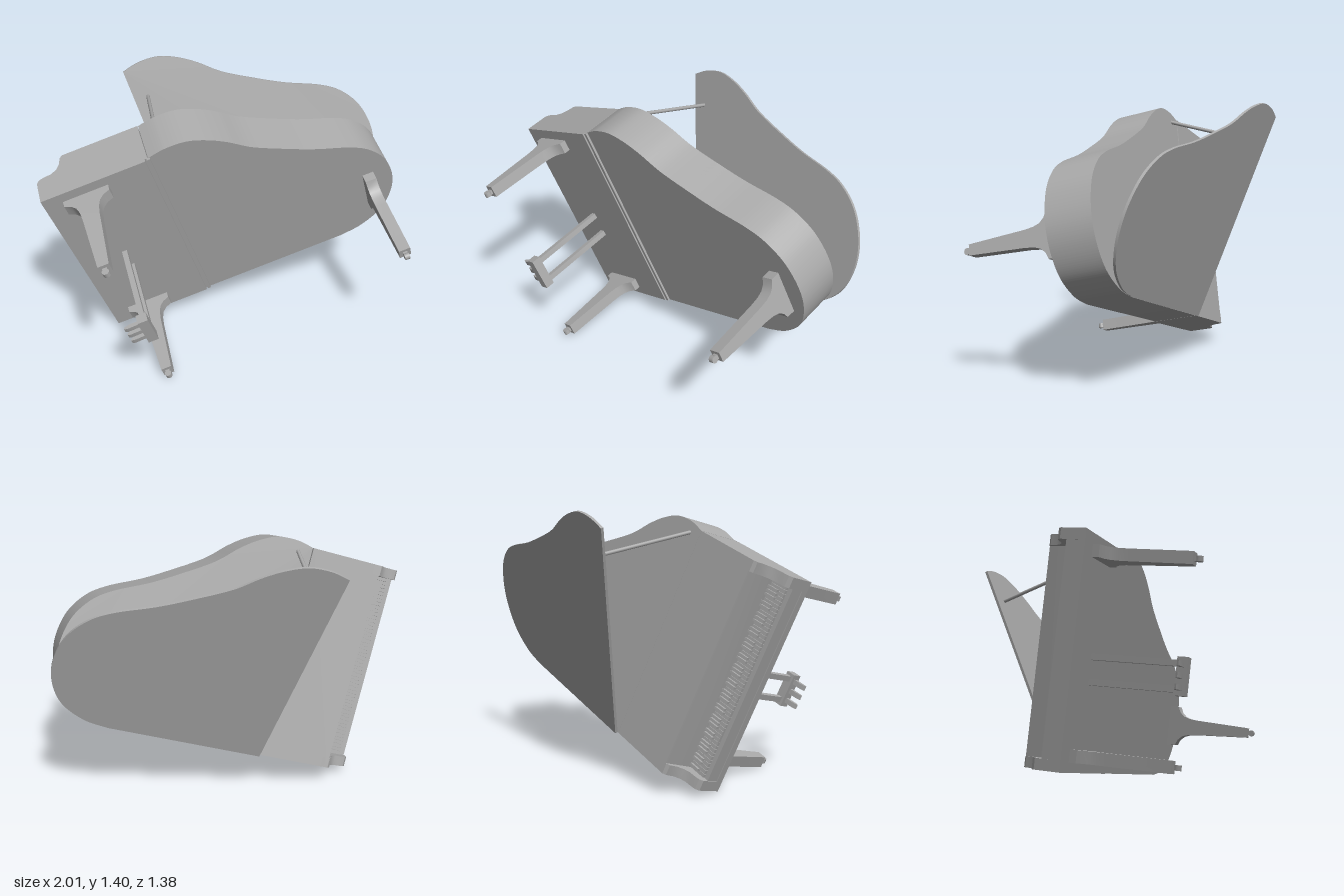
import * as THREE from 'three';
import { toCreasedNormals } from 'three/addons/utils/BufferGeometryUtils.js';

export function createModel() {
  const grey = new THREE.MeshStandardMaterial({ color: 0xaaaaaa });
  grey.name = 'grey';

  // Piano frame: x = keyboard to tail, y = treble to bass side, z = up from the key bed
  const piano = new THREE.Group();
  piano.name = 'grandPiano';
  const WIDTH = 1.145, SPLIT = 0.566, BASE = 0.015, TOP = 0.258;

  function add(name, geometry, parent = piano) {
    const mesh = new THREE.Mesh(geometry, grey);
    mesh.name = name;
    parent.add(mesh);
    return mesh;
  }
  // Box given by its limits along each axis
  function block(name, x0, x1, y0, y1, z0, z1, parent) {
    const g = new THREE.BoxGeometry(x1 - x0, y1 - y0, z1 - z0);
    g.translate((x0 + x1) / 2, (y0 + y1) / 2, (z0 + z1) / 2);
    return add(name, g, parent);
  }
  // Side profile (x, z) extruded across the width from y0 to y1
  function sideExtrude(points, y0, y1) {
    const shape = new THREE.Shape(points.map(([x, z]) => new THREE.Vector2(x, z)));
    const g = new THREE.ExtrudeGeometry(shape, { depth: y1 - y0, bevelEnabled: false });
    g.rotateX(Math.PI / 2);
    g.translate(0, y1, 0);
    return toCreasedNormals(g, 0.5);
  }

  // Curved plan outline shared by the case and the lid
  function outline(scale) {
    const curve = [
      [0.566, 0], [0.66, -0.018], [0.769, -0.01], [0.867, 0.034], [0.958, 0.099],
      [1.065, 0.195], [1.229, 0.299], [1.371, 0.38], [1.542, 0.461], [1.642, 0.534],
      [1.716, 0.646], [1.743, 0.794], [1.716, 0.929], [1.638, 1.048], [1.51, 1.122], [1.381, 1.145],
    ].map(([x, y]) => new THREE.Vector2(SPLIT + (x - SPLIT) * scale, WIDTH + (y - WIDTH) * scale));
    const shape = new THREE.Shape();
    shape.moveTo(curve[0].x, curve[0].y);
    shape.splineThru(curve.slice(1));
    shape.lineTo(SPLIT, WIDTH);
    shape.closePath();
    return shape;
  }
  function plate(scale, depth) {
    const g = new THREE.ExtrudeGeometry(outline(scale), { depth, bevelEnabled: false, curveSegments: 48 });
    return toCreasedNormals(g, 0.5);
  }

  // Case: curved rear, straight front section with fallboard, cheeks
  add('curvedCase', plate(1, TOP - BASE - 0.003)).position.z = BASE;
  add('frontCase', sideExtrude(
    [[0.135, BASE], [SPLIT - 0.004, BASE], [SPLIT - 0.004, TOP], [0.16, TOP], [0.135, 0.11]], 0, WIDTH));
  const cheek = [[0, 0.03], [0.2, 0.03], [0.2, TOP], [0.155, TOP], [0.14, 0.245], [0.13, 0.205],
    [0.11, 0.175], [0.08, 0.158], [0.045, 0.155], [0.015, 0.148], [0, 0.13]];
  add('trebleCheek', sideExtrude(cheek, 0, 0.055));
  add('bassCheek', sideExtrude(cheek, WIDTH - 0.055, WIDTH));

  // Key bed, its rear strip and the slip before the keys
  block('keyBed', 0, 0.548, 0, WIDTH, 0, 0.035);
  block('bedStrip', 0.556, 0.574, 0, WIDTH, 0.003, 0.02);
  block('keySlip', 0.004, 0.03, 0.055, WIDTH - 0.055, 0.03, 0.098);

  // Keyboard, running from treble to bass
  const keys = new THREE.Group();
  keys.name = 'keyboard';
  piano.add(keys);
  const count = 52, step = (WIDTH - 0.11) / count;
  for (let i = 0; i < count; i++) {
    const y = WIDTH - 0.055 - (i + 1) * step;
    block('naturalKey', 0.033, 0.14, y + 0.0008, y + step - 0.0008, 0.04, 0.108, keys);
    // sharps follow A, C, D, F and G, counted up from the lowest A
    if ([0, 2, 3, 5, 6].includes(i % 7) && i < count - 1)
      block('sharpKey', 0.07, 0.14, y - 0.0055, y + 0.0055, 0.1, 0.122, keys);
  }

  // Lid, hinged along the straight bass side, and its prop
  const lidHinge = new THREE.Group();
  lidHinge.name = 'lidHinge';
  lidHinge.position.set(0, WIDTH, TOP + 0.002);
  lidHinge.rotation.x = -0.504;
  piano.add(lidHinge);
  add('lid', plate(1.03, 0.014), lidHinge).position.y = -WIDTH;

  function rod(name, a, b, radius) {
    const from = new THREE.Vector3(...a), to = new THREE.Vector3(...b);
    const mesh = add(name, new THREE.CylinderGeometry(radius, radius, from.distanceTo(to), 8));
    mesh.position.copy(from).add(to).multiplyScalar(0.5);
    mesh.quaternion.setFromUnitVectors(new THREE.Vector3(0, 1, 0), to.sub(from).normalize());
  }
  rod('lidProp', [0.642, 0.034, 0.25], [0.643, 0.264, 0.742], 0.01);

  // Legs: bracketed top, tapering shaft and a caster
  const half = [[0.12, 0.02], [0.118, -0.035], [0.085, -0.05], [0.062, -0.075], [0.05, -0.11],
    [0.044, -0.16], [0.028, -0.475]];
  const legProfile = [...half, ...half.map(([s, z]) => [-s, z]).reverse()];
  function leg(name, x, y, turn) {
    const group = new THREE.Group();
    group.name = name;
    group.position.set(x, y, 0);
    group.rotation.z = turn;
    piano.add(group);
    add('legShaft', sideExtrude(legProfile, -0.031, 0.031), group);
    block('casterFork', -0.012, 0.012, -0.012, 0.012, -0.49, -0.47, group);
    add('caster', new THREE.CylinderGeometry(0.018, 0.018, 0.026, 12), group).position.z = -0.498;
  }
  leg('trebleLeg', 0.215, 0.085, 0);
  leg('bassLeg', 0.215, WIDTH - 0.08, 0);
  leg('tailLeg', 1.61, 0.835, Math.PI / 2);

  // Pedal lyre
  const mid = 0.64;
  for (const side of [-1, 1]) {
    const y = mid + side * 0.062;
    block('lyreRod', 0.226, 0.254, y - 0.015, y + 0.015, -0.45, 0.01);
  }
  block('pedalBox', 0.212, 0.266, mid - 0.092, mid + 0.092, -0.492, -0.44);
  for (const i of [-1, 0, 1]) {
    const y = mid + i * 0.055;
    add('pedal', sideExtrude(
      [[0.22, -0.478], [0.22, -0.458], [0.17, -0.456], [0.14, -0.464], [0.135, -0.474], [0.15, -0.48]],
      y - 0.013, y + 0.013));
  }

  // Tilt the whole instrument into its resting pose
  const along = new THREE.Vector3(0.9335, 0.3075, 0.184).normalize();
  const up = new THREE.Vector3(0.116, 0.227, -0.967).normalize();
  const across = new THREE.Vector3().crossVectors(up, along).normalize();
  up.crossVectors(along, across);
  piano.quaternion.setFromRotationMatrix(new THREE.Matrix4().makeBasis(along, across, up));
  piano.position.set(-1, 1.08, 0.03);

  const model = new THREE.Group();
  model.name = 'model';
  model.add(piano);
  return model;
}
